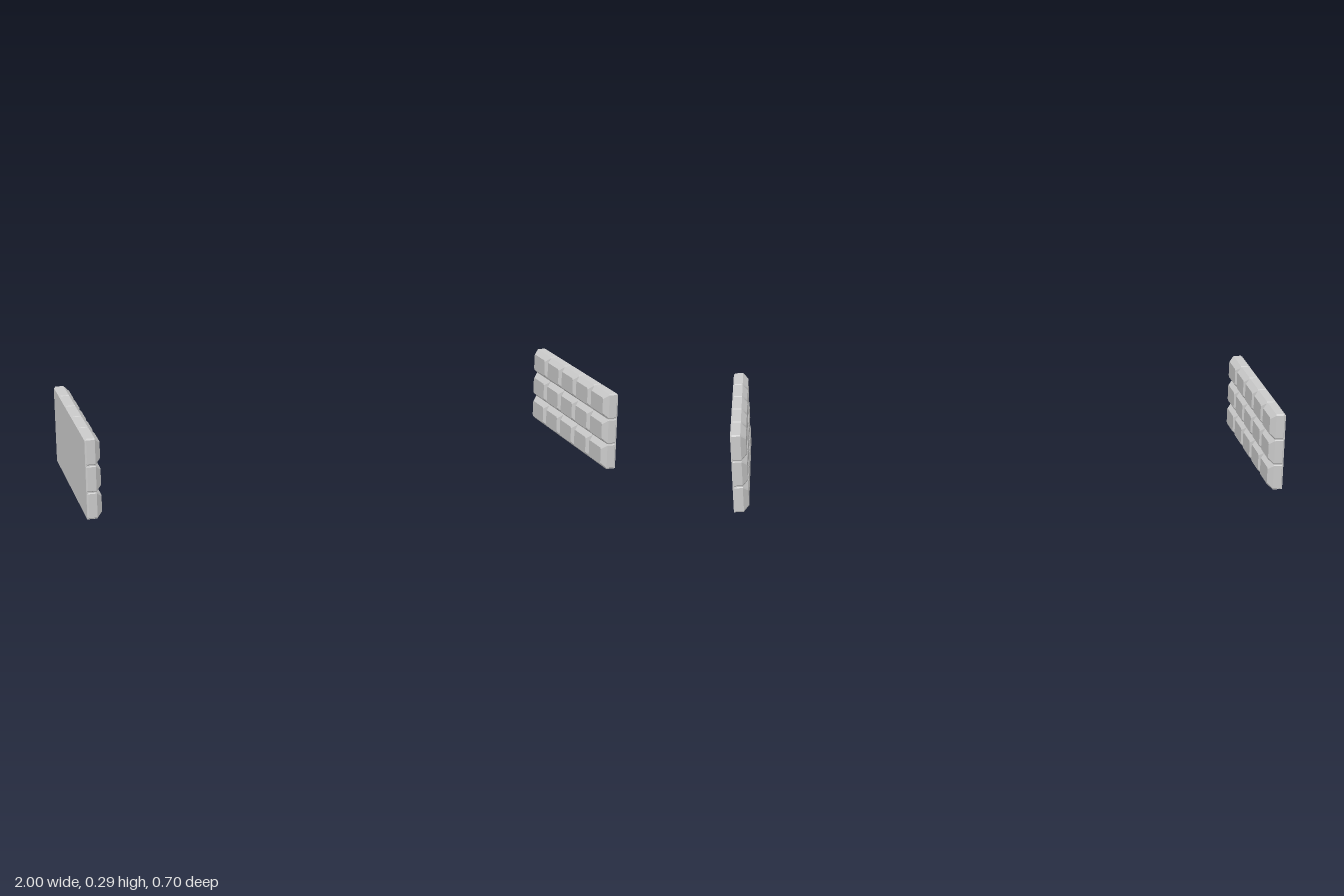
import * as THREE from 'three';

const ROWS = 3, COLS = 5, HEIGHT = 0.293, DEPTH = 0.7;
const CELL_H = HEIGHT / ROWS, CELL_D = DEPTH / COLS;

const material = new THREE.MeshStandardMaterial({ color: 0xcccccc, flatShading: true });

// Octagonal outline (z, y) of a block, shrunk by an inset
function outline(inset) {
  const w = CELL_D / 2 - inset, h = CELL_H / 2 - inset, c = 0.005;
  return [
    [w, c - h], [w, h - c], [w - c, h], [c - w, h],
    [-w, h - c], [-w, c - h], [c - w, -h], [w - c, -h],
  ];
}

// Bevelled block lofted from the back (x near 1) towards the centre (-x)
function blockGeometry() {
  const layers = [[0.998, 0.003], [0.994, 0], [0.964, 0], [0.945, 0.017]];
  const positions = [], index = [], n = 8;
  for (const [x, inset] of layers) {
    for (const [z, y] of outline(inset)) positions.push(x, y, z);
  }
  for (let k = 0; k < layers.length - 1; k++) {
    for (let i = 0; i < n; i++) {
      const a = k * n + i, b = k * n + (i + 1) % n;
      index.push(a, b, b + n, a, b + n, a + n);
    }
  }
  const front = (layers.length - 1) * n;
  for (let i = 1; i < n - 1; i++) index.push(front, front + i, front + i + 1);
  const geometry = new THREE.BufferGeometry();
  geometry.setAttribute('position', new THREE.Float32BufferAttribute(positions, 3));
  geometry.setIndex(index);
  const flat = geometry.toNonIndexed();
  flat.computeVertexNormals();
  return flat;
}

// Flat-backed wall panel with a grid of blocks on its inner face
function createPanel(name, block) {
  const panel = new THREE.Group();
  panel.name = name;

  const backing = new THREE.Mesh(new THREE.BoxGeometry(0.035, 0.288, 0.694), material);
  backing.name = 'backing';
  backing.position.set(0.9825, 0.144, 0);
  panel.add(backing);

  for (let r = 0; r < ROWS; r++) {
    for (let c = 0; c < COLS; c++) {
      const mesh = new THREE.Mesh(block, material);
      mesh.name = `block_${r + 1}_${c + 1}`;
      mesh.position.set(0, (r + 0.5) * CELL_H, (c - (COLS - 1) / 2) * CELL_D);
      panel.add(mesh);
    }
  }
  return panel;
}

export function createModel() {
  const model = new THREE.Group();
  model.name = 'blockWalls';
  const block = blockGeometry();
  const left = createPanel('leftWall', block);
  const right = createPanel('rightWall', block);
  right.rotation.y = Math.PI;
  model.add(left, right);
  return model;
}
